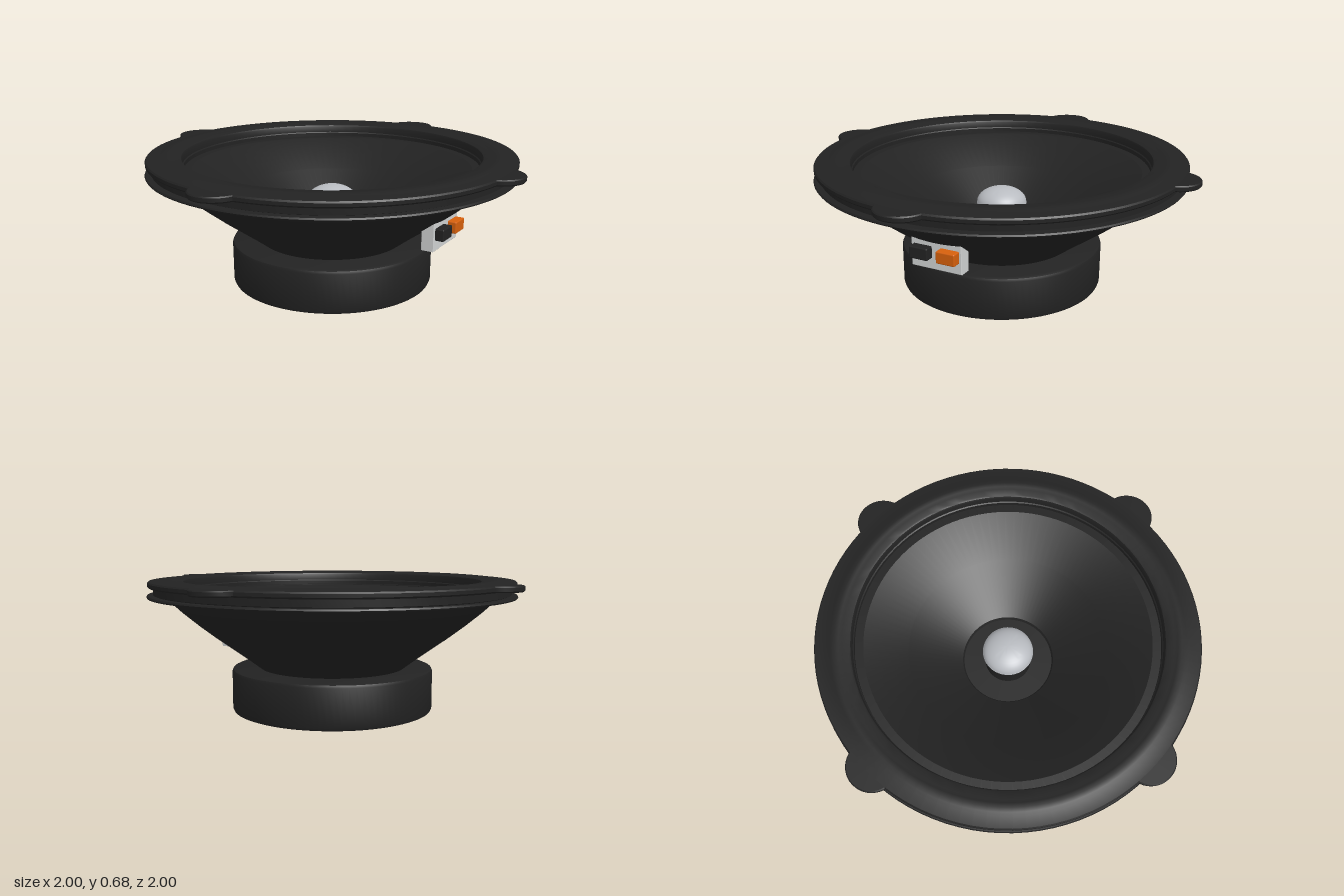
import * as THREE from 'three';
import { toCreasedNormals } from 'three/addons/utils/BufferGeometryUtils.js';
import { RoundedBoxGeometry } from 'three/addons/geometries/RoundedBoxGeometry.js';

const material = (name, color) => Object.assign(new THREE.MeshStandardMaterial({ color }), { name });

export function createModel() {
  const black = material('black', 0x222222);
  const silver = material('silver', 0xb9bcc1);
  const lightGrey = material('light grey', 0xd0d2d2);
  const orange = material('orange', 0xd6600c);

  const group = new THREE.Group();
  const add = (name, geometry, mat, x = 0, y = 0, z = 0) => {
    const mesh = new THREE.Mesh(geometry, mat);
    mesh.name = name;
    mesh.position.set(x, y, z);
    group.add(mesh);
    return mesh;
  };
  // Profiles of [radius, height], traced up the outside and down the inside
  const lathe = (name, points, mat, segments = 96) => {
    const geometry = new THREE.LatheGeometry(points.map(([r, y]) => new THREE.Vector2(r, y)), segments);
    return add(name, toCreasedNormals(geometry, 0.5), mat);
  };

  // Magnet with rounded edges and a vent hole in the bottom
  lathe('magnet', [
    [0, 0.07], [0.05, 0.06], [0.066, 0.02], [0.07, 0], [0.498, 0], [0.51, 0.005], [0.515, 0.017],
    [0.515, 0.203], [0.51, 0.215], [0.498, 0.22], [0, 0.22],
  ], black);

  // Flared basket with a thin flange at its top
  lathe('basket', [
    [0.365, 0.215], [0.44, 0.272], [0.52, 0.33], [0.6, 0.388], [0.68, 0.45], [0.76, 0.517],
    [0.834, 0.587], [0.922, 0.587], [0.926, 0.593], [0.922, 0.6], [0.7, 0.6],
  ], black);

  // Rim gasket with a shallow rounded surround and an inner wall
  lathe('rim', [
    [0.88, 0.598], [0.895, 0.604], [0.895, 0.638], [0.915, 0.638], [0.921, 0.645], [0.921, 0.66],
    [0.915, 0.667], [0.86, 0.669], [0.845, 0.674], [0.825, 0.676], [0.805, 0.674], [0.79, 0.669],
    [0.758, 0.668], [0.75, 0.664], [0.746, 0.656], [0.746, 0.625], [0.741, 0.62], [0.741, 0.58],
  ], black);

  // Four mounting ears with softened edges
  for (let i = 0; i < 4; i++) {
    const angle = i * Math.PI / 2;
    const ear = lathe('mountingEar', [
      [0, 0.639], [0.117, 0.639], [0.122, 0.645], [0.122, 0.662], [0.117, 0.667], [0, 0.667],
    ], black, 40);
    ear.position.set(Math.cos(angle) * 0.878, 0, Math.sin(angle) * 0.878);
  }

  // Speaker cone, open towards the top
  lathe('cone', [
    [0.745, 0.585], [0.735, 0.594], [0.72, 0.59], [0.5, 0.457], [0.235, 0.3], [0.228, 0.285], [0, 0.285],
  ], black);

  // Central post carrying the shiny dome
  lathe('domePost', [[0.118, 0.28], [0.118, 0.41], [0, 0.41]], black, 48);
  const cap = [[0, 0.405], [0.124, 0.405], [0.128, 0.412]];
  for (let i = 0; i <= 10; i++) {
    const a = i / 10 * Math.PI / 2;
    cap.push([0.126 * Math.cos(a), 0.418 + 0.075 * Math.sin(a)]);
  }
  lathe('dome', cap, silver, 48);

  // Terminal block on the left side, with a shallow notch in its top edge
  const plate = new THREE.Shape();
  [[-0.13, 0.288], [0.13, 0.288], [0.13, 0.432], [0.115, 0.432], [0.105, 0.424],
    [-0.105, 0.424], [-0.115, 0.432], [-0.13, 0.432]]
    .forEach(([x, y], i) => (i ? plate.lineTo(x, y) : plate.moveTo(x, y)));
  const block = new THREE.ExtrudeGeometry(plate, {
    depth: 0.058, bevelEnabled: true, bevelThickness: 0.003, bevelSize: 0.003, bevelOffset: -0.003, bevelSegments: 1,
  });
  block.rotateY(Math.PI / 2);
  add('terminalBlock', block, lightGrey, 0.576);

  // Push buttons, one for each wire
  for (const [name, mat, z] of [['blackTerminal', black, 0.07], ['orangeTerminal', orange, -0.07]]) {
    add(name, new RoundedBoxGeometry(0.06, 0.058, 0.096, 2, 0.006), mat, 0.65, 0.37, z);
  }

  return group;
}
